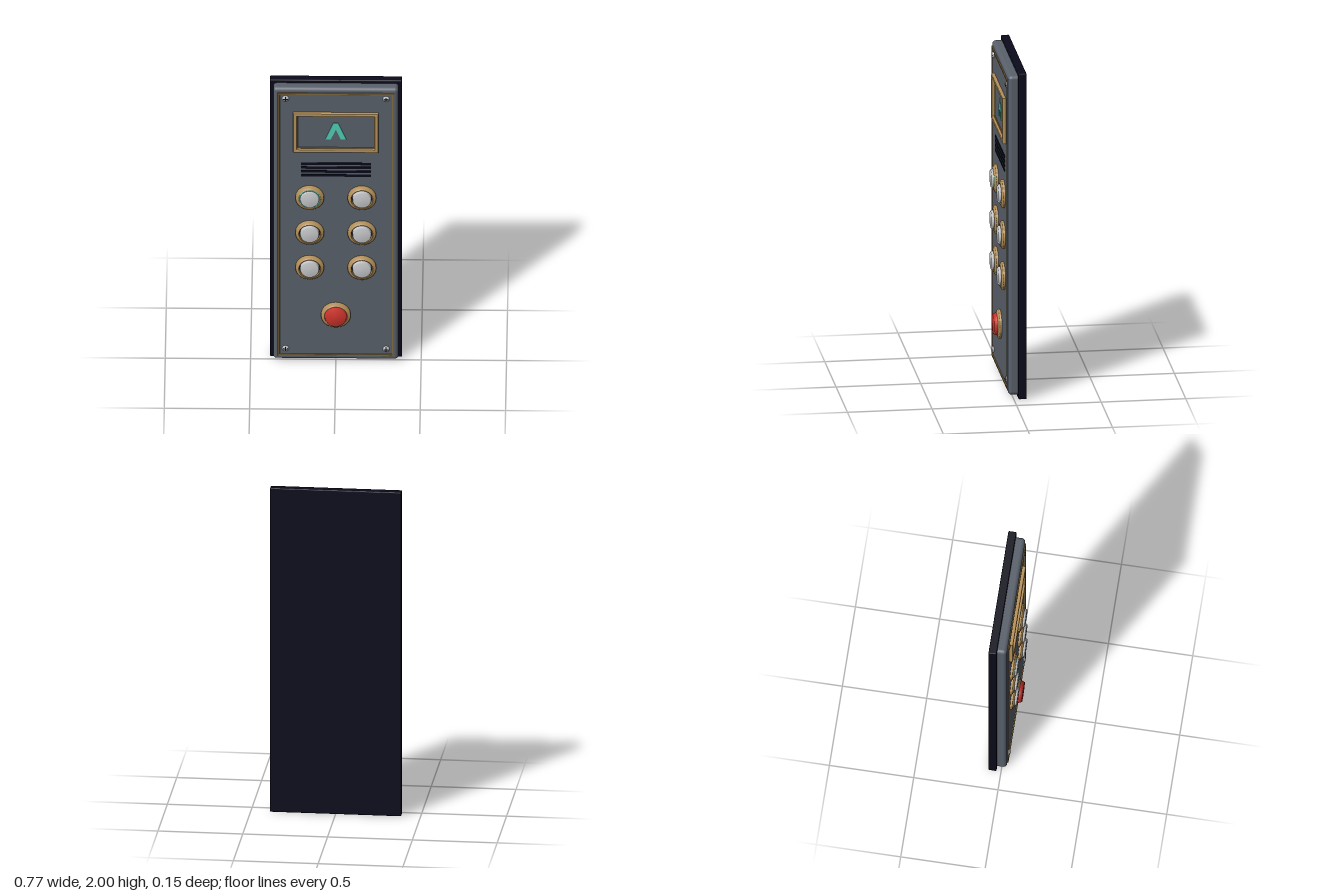
import * as THREE from 'three';
import { RoundedBoxGeometry } from 'three/addons/geometries/RoundedBoxGeometry.js';

const mat = (name, color) => {
  const m = new THREE.MeshStandardMaterial({ color });
  m.name = name;
  return m;
};

export function createModel() {
  const navy = mat('navy', 0x0b0b1c);
  const steel = mat('steel grey', 0x5a616c);
  const brass = mat('brass', 0xb8935a);
  const darkBrass = mat('dark brass', 0x80683c);
  const silver = mat('silver', 0xc9cacd);
  const red = mat('red', 0xd0342c);
  const teal = mat('teal', 0x4fd1b8);

  const root = new THREE.Group();
  root.name = 'buttonPanel';
  const add = (name, geo, material, x = 0, y = 0, z = 0, parent = root) => {
    const m = new THREE.Mesh(geo, material);
    m.name = name;
    m.position.set(x, y, z);
    parent.add(m);
    return m;
  };

  // Rectangle path, used for frames and their openings
  const rect = (P, w, h) => {
    const p = new P();
    p.moveTo(-w / 2, -h / 2);
    p.lineTo(w / 2, -h / 2);
    p.lineTo(w / 2, h / 2);
    p.lineTo(-w / 2, h / 2);
    p.closePath();
    return p;
  };
  // Bevelled rectangular frame, rising along z
  const frame = (w, h, t, depth, bevel) => {
    const s = rect(THREE.Shape, w, h);
    s.holes.push(rect(THREE.Path, w - 2 * t, h - 2 * t));
    return new THREE.ExtrudeGeometry(s, {
      depth: depth - bevel, bevelThickness: bevel, bevelSize: bevel,
      bevelOffset: -bevel, bevelSegments: 2,
    });
  };
  // Lathe of [radius, z] points turned to face +z
  const turned = (pts, seg = 40) =>
    new THREE.LatheGeometry(pts.map(([r, z]) => new THREE.Vector2(r, z)), seg).rotateX(Math.PI / 2);

  // Wall plate and raised face plate
  add('backPlate', new RoundedBoxGeometry(0.774, 2, 0.048, 2, 0.006), navy, 0, 1, -0.051);
  add('facePlate', new RoundedBoxGeometry(0.734, 1.96, 0.08, 4, 0.022), steel, 0, 1, -0.01);
  add('edgeTrim', frame(0.682, 1.9, 0.013, 0.012, 0.003), darkBrass, 0, 1, 0.025);

  // Display with frame and arrow
  add('displayFrame', frame(0.5, 0.28, 0.022, 0.028, 0.006), brass, 0, 1.67, 0.022);
  add('displayInnerTrim', frame(0.458, 0.238, 0.006, 0.012, 0.002), darkBrass, 0, 1.67, 0.024);
  const arrow = new THREE.Shape([
    [-0.062, -0.058], [-0.03, -0.058], [0, 0.012], [0.03, -0.058],
    [0.062, -0.058], [0.015, 0.058], [-0.015, 0.058],
  ].map(([x, y]) => new THREE.Vector2(x, y)));
  add('displayArrow', new THREE.ExtrudeGeometry(arrow, { depth: 0.005, bevelEnabled: false }),
    teal, 0, 1.673, 0.029);

  // Speaker slots
  for (let i = 0; i < 4; i++)
    add('speakerSlot', new THREE.BoxGeometry(0.41, 0.016, 0.006), navy, 0, 1.438 - i * 0.028, 0.03);

  // Buttons: stepped bezel, dark gap, softly domed cap
  const bezel = turned([[0.084, 0.02], [0.084, 0.04], [0.08, 0.044], [0.07, 0.046],
    [0.067, 0.052], [0.062, 0.052], [0.06, 0.028]], 48);
  const gap = new THREE.CircleGeometry(0.064, 40);
  const cap = turned([[0.056, 0.028], [0.056, 0.056], [0.051, 0.066], [0, 0.067]]);
  const redCap = turned([[0.067, 0.028], [0.067, 0.052], [0.059, 0.073], [0, 0.074]]);
  const glow = new THREE.TorusGeometry(0.061, 0.005, 8, 48);

  const button = (name, x, y, capGeo, capMat, scale = 1) => {
    const g = new THREE.Group();
    g.name = name;
    g.position.set(x, y, 0);
    root.add(g);
    add('bezel', bezel, brass, 0, 0, 0, g).scale.set(scale, scale, 1);
    add('gap', gap, navy, 0, 0, 0.034, g).scale.set(scale, scale, 1);
    add('cap', capGeo, capMat, 0, 0, 0, g);
    return g;
  };
  [1.195, 0.942, 0.69].forEach((y, row) => {
    for (const x of [-0.153, 0.153]) {
      const g = button('floorButton', x, y, cap, silver);
      if (row === 0 && x < 0) add('glowRing', glow, teal, 0, 0, 0.049, g);
    }
  });
  brass.side = THREE.DoubleSide;
  button('alarmButton', 0, 0.348, redCap, red, 1.04);

  // Corner screws with crossed slots
  const head = turned([[0.02, 0.02], [0.02, 0.032], [0.014, 0.038], [0, 0.04]], 20);
  for (const x of [-0.295, 0.295])
    for (const y of [0.1, 1.908]) {
      add('screw', head, silver, x, y, 0);
      add('screwSlot', new THREE.BoxGeometry(0.028, 0.005, 0.004), navy, x, y, 0.0387);
      add('screwSlot', new THREE.BoxGeometry(0.005, 0.028, 0.004), navy, x, y, 0.0386);
    }
  return root;
}
